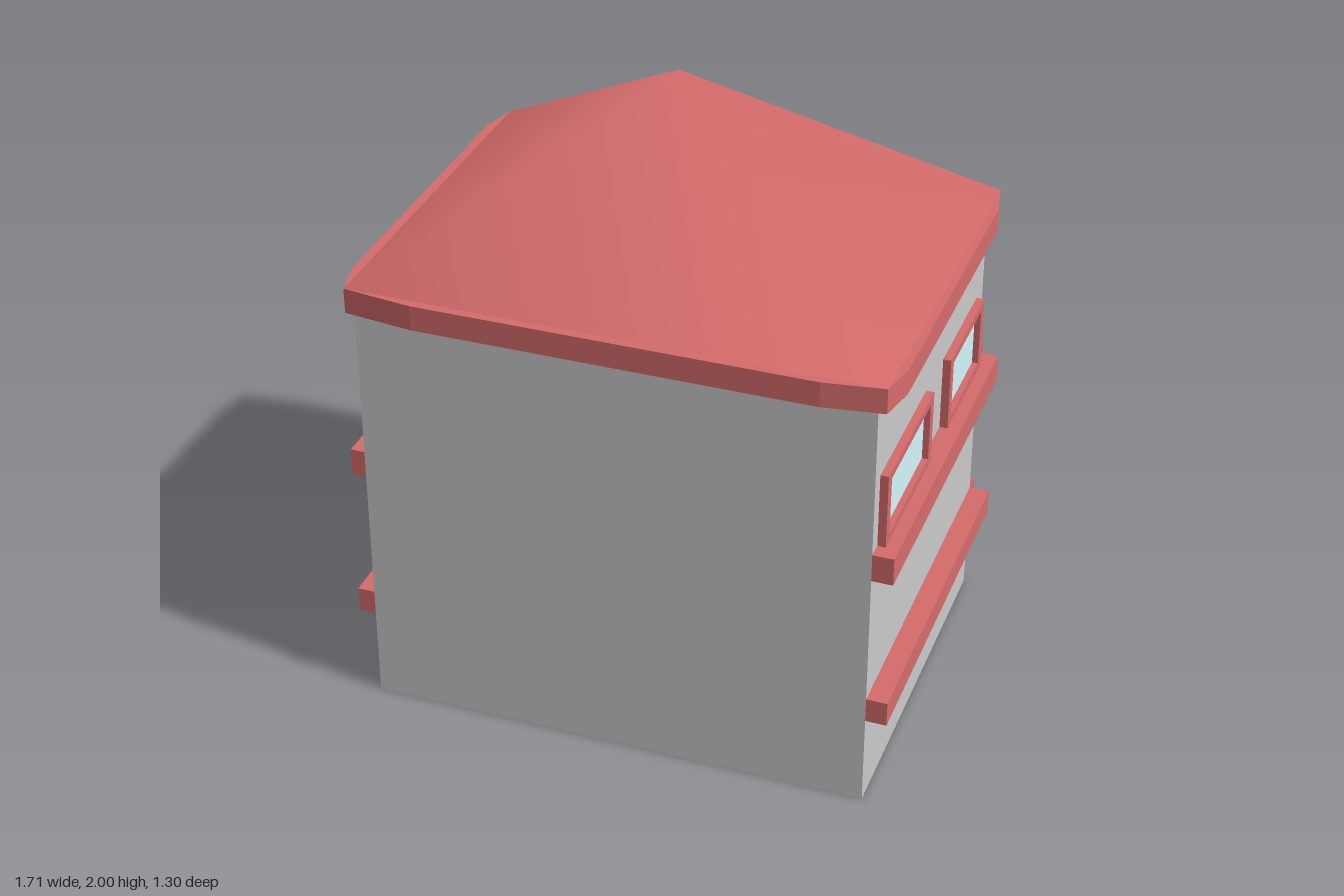
import * as THREE from 'three';

const wallMat = new THREE.MeshStandardMaterial({ color: 0xcccccc });
const redMat = new THREE.MeshStandardMaterial({ color: 0xd66c6c });
const darkRedMat = new THREE.MeshStandardMaterial({ color: 0xb01414 });
const glassMat = new THREE.MeshStandardMaterial({ color: 0xd4f8fc });

// Wall planes and heights
const X0 = -0.8, X1 = 0.785, Z0 = -0.59, Z1 = 0.6, WALL_TOP = 1.38, EAVE_TOP = 1.46;

// Box given by its two extreme corners
function block(name, [x0, y0, z0], [x1, y1, z1], mat) {
  const mesh = new THREE.Mesh(new THREE.BoxGeometry(x1 - x0, y1 - y0, z1 - z0), mat);
  mesh.position.set((x0 + x1) / 2, (y0 + y1) / 2, (z0 + z1) / 2);
  mesh.name = name;
  return mesh;
}

function rect(path, w, h) {
  return path.moveTo(-w / 2, -h / 2).lineTo(w / 2, -h / 2).lineTo(w / 2, h / 2).lineTo(-w / 2, h / 2).closePath();
}

// Framed window facing +z, with its back on z = 0
function makeWindow(name, width, mat) {
  const height = 0.24, border = 0.035, depth = 0.025;
  const shape = rect(new THREE.Shape(), width, height);
  shape.holes.push(rect(new THREE.Path(), width - 2 * border, height - 1.5 * border));
  const frame = new THREE.Mesh(new THREE.ExtrudeGeometry(shape, { depth, bevelEnabled: false }), mat);
  frame.name = 'windowFrame';
  const pane = new THREE.Mesh(new THREE.BoxGeometry(width - 2 * border, height - 1.5 * border, 0.006), glassMat);
  pane.position.z = 0.003;
  pane.name = 'windowPane';
  const group = new THREE.Group();
  group.name = name;
  group.add(frame, pane);
  return group;
}

// Eave slab with slightly bowed sides
function makeEave() {
  const outline = [
    [-0.82, 0.62], [-0.6, 0.648], [0.63, 0.648], [0.815, 0.62],
    [0.84, 0.5], [0.84, -0.5], [0.815, -0.62], [0.6, -0.638],
    [-0.58, -0.648], [-0.82, -0.62], [-0.85, -0.5], [-0.85, 0.5],
  ];
  const shape = new THREE.Shape(outline.map(([x, z]) => new THREE.Vector2(x, -z)));
  const geo = new THREE.ExtrudeGeometry(shape, { depth: EAVE_TOP - WALL_TOP, bevelEnabled: false });
  geo.rotateX(-Math.PI / 2);
  const mesh = new THREE.Mesh(geo, redMat);
  mesh.position.y = WALL_TOP;
  mesh.name = 'eave';
  return mesh;
}

// Pyramid roof with shared vertices, so that the hips shade smoothly
function makeRoof() {
  const geo = new THREE.BufferGeometry();
  geo.setAttribute('position', new THREE.Float32BufferAttribute([
    -0.82, EAVE_TOP, 0.62, 0.815, EAVE_TOP, 0.62, 0.815, EAVE_TOP, -0.62, -0.82, EAVE_TOP, -0.62,
    -0.02, 2, -0.02,
  ], 3));
  const index = [];
  for (let i = 0; i < 4; i++) index.push(i, (i + 1) % 4, 4);
  geo.setIndex(index);
  geo.computeVertexNormals();
  const mesh = new THREE.Mesh(geo, redMat);
  mesh.name = 'roof';
  return mesh;
}

export function createModel() {
  const model = new THREE.Group();
  model.name = 'house';
  model.add(block('walls', [X0, 0, Z0], [X1, WALL_TOP, Z1], wallMat), makeEave(), makeRoof());

  // Ledges on both sides and the back, open at the corners
  const ledges = [
    { name: 'upper', y0: 0.8, y1: 0.89, left: 0.85, right: -0.845, back: -0.65 },
    { name: 'lower', y0: 0.295, y1: 0.375, left: 0.85, right: -0.855, back: -0.645 },
  ];
  for (const { name, y0, y1, left, right, back } of ledges) {
    model.add(
      block(name + 'LedgeLeft', [X1, y0, Z0], [left, y1, Z1], redMat),
      block(name + 'LedgeRight', [right, y0, Z0], [X0, y1, Z1], redMat),
      block(name + 'LedgeBack', [X0, y0, back], [X1, y1, Z0], redMat),
    );
  }

  // Pairs of windows standing on the upper ledge
  const y = 1.01;
  for (const [a, b] of [[0.07, 0.55], [-0.515, -0.12]]) {
    const mid = (a + b) / 2;
    const leftWindow = makeWindow('leftWindow', b - a, redMat);
    leftWindow.position.set(X1, y, mid);
    leftWindow.rotation.y = Math.PI / 2;
    const rightWindow = makeWindow('rightWindow', b - a, darkRedMat);
    rightWindow.position.set(X0, y, mid);
    rightWindow.rotation.y = -Math.PI / 2;
    model.add(leftWindow, rightWindow);
  }
  for (const [a, b] of [[0.25, 0.635], [-0.61, -0.21]]) {
    const backWindow = makeWindow('backWindow', b - a, redMat);
    backWindow.position.set((a + b) / 2, y, Z0);
    backWindow.rotation.y = Math.PI;
    model.add(backWindow);
  }
  return model;
}
